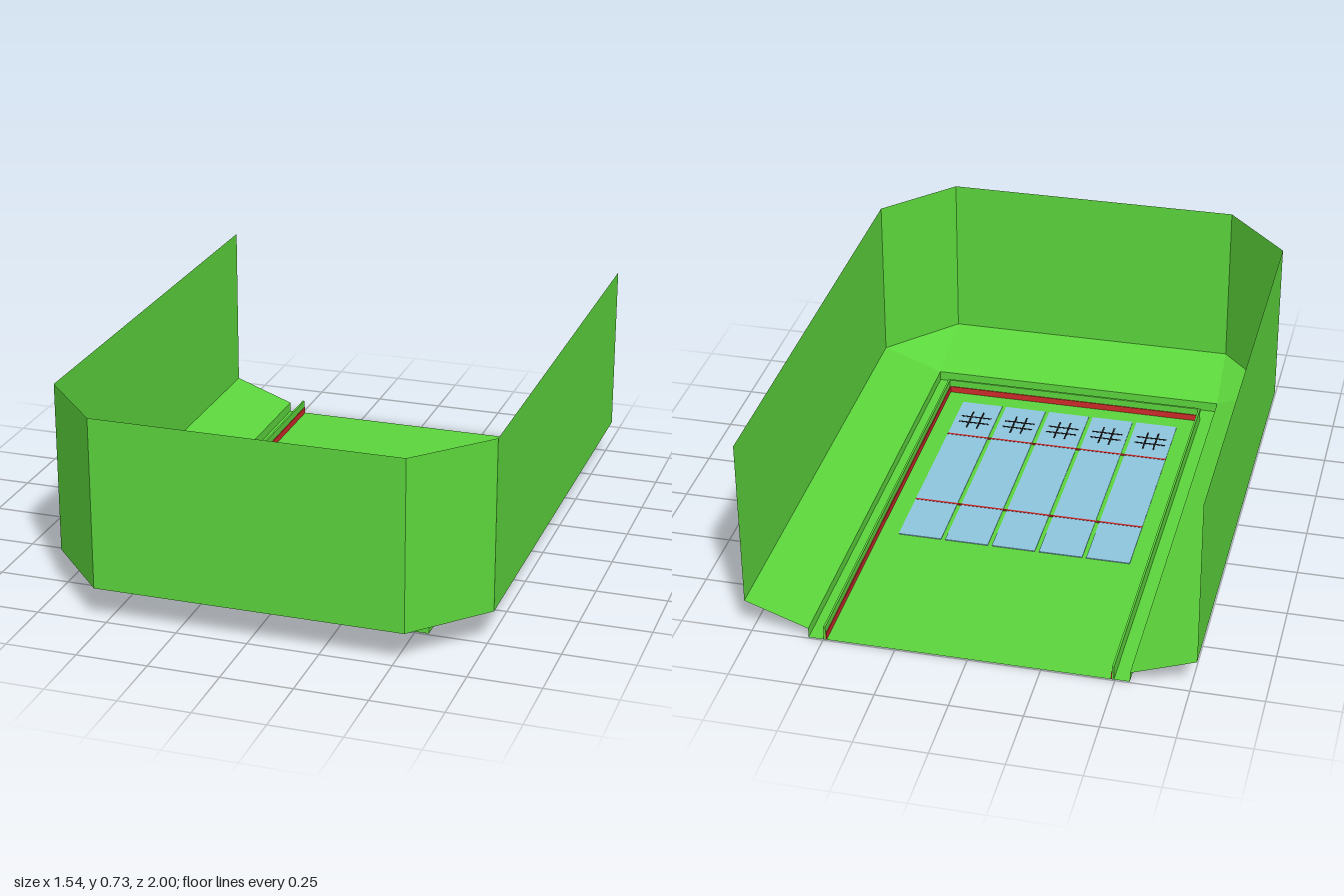
import * as THREE from 'three';

const mat = (color, extra = {}) => new THREE.MeshStandardMaterial({ color, ...extra });

// Flat-shaded sheet between two open rows of [x, z] points at heights y0 and y1
function sheet(name, rowA, y0, rowB, y1, material) {
  const pos = [];
  const tri = (...pts) => {
    const [a, b, c] = pts.map((p) => new THREE.Vector3(...p));
    if (b.clone().sub(a).cross(c.clone().sub(a)).length() > 1e-6) pos.push(...pts.flat());
  };
  for (let i = 0; i < rowA.length - 1; i++) {
    const a = [rowA[i][0], y0, rowA[i][1]], b = [rowA[i + 1][0], y0, rowA[i + 1][1]];
    const c = [rowB[i + 1][0], y1, rowB[i + 1][1]], d = [rowB[i][0], y1, rowB[i][1]];
    tri(a, b, c);
    tri(a, c, d);
  }
  const geo = new THREE.BufferGeometry();
  geo.setAttribute('position', new THREE.Float32BufferAttribute(pos, 3));
  geo.computeVertexNormals();
  const mesh = new THREE.Mesh(geo, material);
  mesh.name = name;
  return mesh;
}

// Box given by its limits
function box(name, x0, x1, y0, y1, z0, z1, material) {
  const mesh = new THREE.Mesh(new THREE.BoxGeometry(x1 - x0, y1 - y0, z1 - z0), material);
  mesh.position.set((x0 + x1) / 2, (y0 + y1) / 2, (z0 + z1) / 2);
  mesh.name = name;
  return mesh;
}

export function createModel() {
  const model = new THREE.Group();
  model.name = 'arena';
  const green = mat(0x5cd63c);
  const greenSheet = mat(0x5cd63c, { side: THREE.DoubleSide });
  const red = mat(0xd02a2a);
  const blue = mat(0x8fc6de);
  const black = mat(0x111111);

  // Outer wall, sloping apron and step, open at the back
  const outer = [[-0.77, -1], [-0.77, 0.75], [-0.54, 1], [0.54, 1], [0.77, 0.75], [0.77, -1]];
  const inner = [[-0.55, -1], [-0.55, 0.75], [-0.55, 0.75], [0.55, 0.75], [0.55, 0.75], [0.55, -1]];
  const floorY = 0.004;
  model.add(
    sheet('outerWall', outer, 0.12, outer, 0.73, greenSheet),
    sheet('slopedApron', inner, 0.04, outer, 0.12, greenSheet),
    sheet('step', inner, floorY, inner, 0.04, greenSheet),
    sheet('floor', [[-0.55, 0.75], [0.55, 0.75]], floorY, [[-0.55, -1], [0.55, -1]], floorY, greenSheet),
  );

  // Low barrier with a red kick strip along the inside foot
  const barrier = new THREE.Group();
  barrier.name = 'barrier';
  for (const s of [-1, 1]) {
    const span = (a, b) => [Math.min(s * a, s * b), Math.max(s * a, s * b)];
    barrier.add(
      box('sideBarrier', ...span(0.49, 0.497), floorY, 0.055, -1, 0.678, green),
      box('sideKickStrip', ...span(0.487, 0.49), floorY, 0.028, -1, 0.667, red),
    );
  }
  barrier.add(
    box('frontBarrier', -0.49, 0.49, floorY, 0.055, 0.67, 0.678, green),
    box('frontKickStrip', -0.487, 0.487, floorY, 0.028, 0.667, 0.67, red),
  );
  model.add(barrier);

  // Five lanes, each with crossing lines and a hash-shaped mark
  for (let i = -2; i <= 2; i++) {
    const x = i * 0.171;
    const lane = new THREE.Group();
    lane.name = 'lane';
    lane.add(box('laneSurface', x - 0.078, x + 0.078, 0.001, 0.007, -0.335, 0.6, blue));
    for (const d of [-0.02, 0.02]) {
      lane.add(
        box('markBar', x + d - 0.003, x + d + 0.003, 0.006, 0.0085, 0.42, 0.536, black),
        box('markCrossbar', x - 0.058, x + 0.058, 0.006, 0.0083, 0.478 + d - 0.003, 0.478 + d + 0.003, black),
      );
    }
    model.add(lane);
  }
  for (const z of [-0.102, 0.362]) {
    model.add(box('crossingLine', -0.42, 0.42, 0, 0.008, z - 0.004, z + 0.004, red));
  }
  return model;
}
